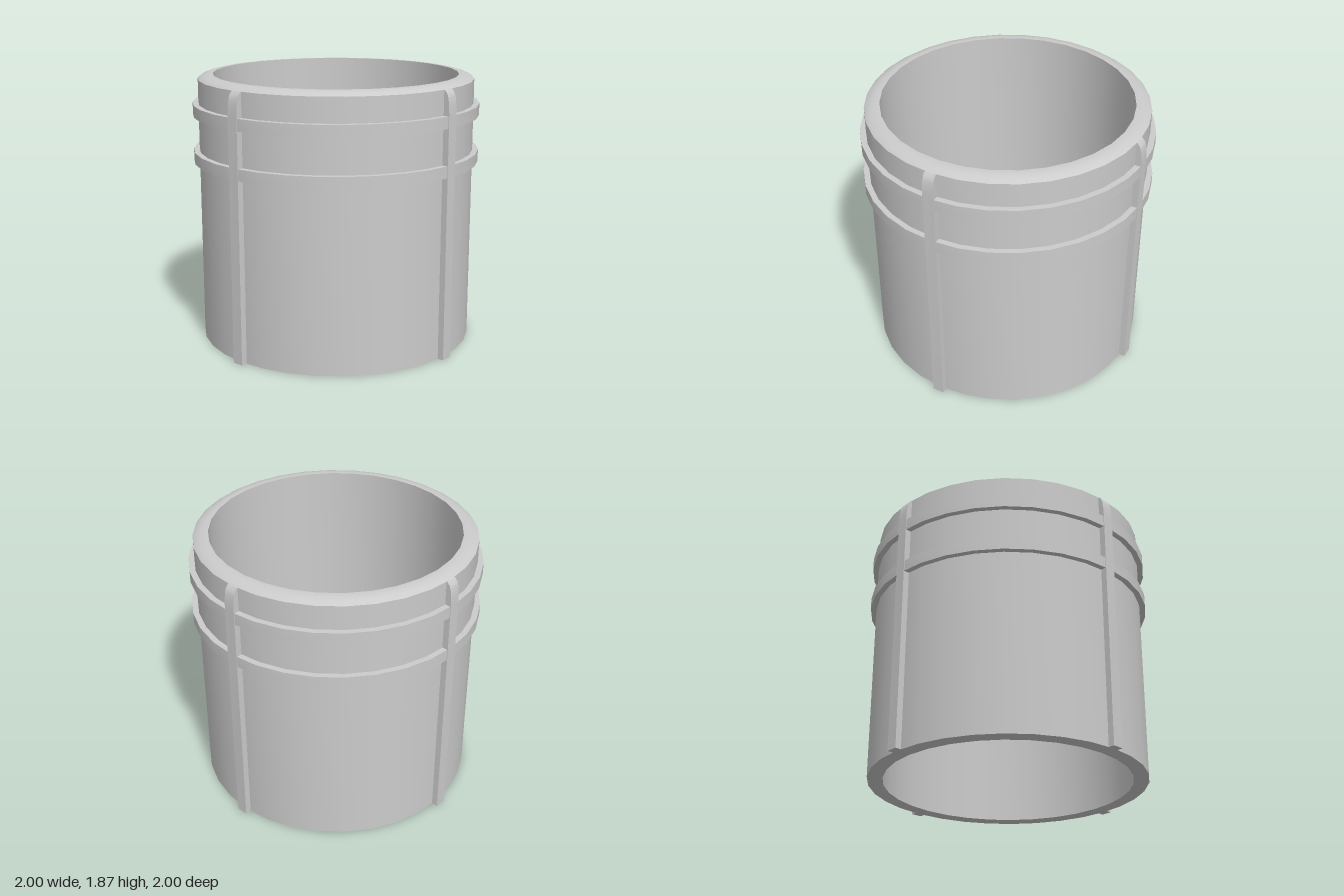
import * as THREE from 'three';
import { toCreasedNormals } from 'three/addons/utils/BufferGeometryUtils.js';

const SIDES = 32;
const WALL = 0.96, INNER = 0.855, OUTER = 1.0, HEIGHT = 1.87;

export function createModel() {
  const group = new THREE.Group();
  const material = new THREE.MeshStandardMaterial({ color: 0xcccccc });

  const add = (name, geometry) => {
    const mesh = new THREE.Mesh(toCreasedNormals(geometry, 0.5), material);
    mesh.name = name;
    group.add(mesh);
    return mesh;
  };
  const lathe = (points) =>
    new THREE.LatheGeometry(points.map(([r, y]) => new THREE.Vector2(r, y)), SIDES);

  // Open tube with a softly rounded outer lip
  add('sleeve', lathe([
    [INNER, 0], [WALL, 0], [WALL, 1.84], [0.935, 1.857], [0.9, 1.867],
    [0.875, HEIGHT], [INNER, HEIGHT], [INNER, 0],
  ]));

  // Two raised bands round the upper half
  for (const [name, low, high] of [['lowerBand', 1.265, 1.345], ['upperBand', 1.59, 1.672]]) {
    add(name, lathe([[WALL - 0.01, low], [OUTER, low], [OUTER, high], [WALL - 0.01, high]]));
  }

  // Four vertical ribs that curve in towards the lip
  const width = 0.08;
  const profile = new THREE.Shape();
  profile.moveTo(0.94, 0);
  profile.lineTo(OUTER, 0);
  profile.lineTo(OUTER, 1.67);
  profile.lineTo(0.997, 1.74);
  profile.lineTo(0.99, 1.79);
  profile.lineTo(0.98, 1.818);
  profile.lineTo(0.96, 1.84);
  profile.lineTo(0.94, 1.84);
  profile.closePath();
  for (let i = 0; i < 4; i++) {
    const rib = new THREE.ExtrudeGeometry(profile, { depth: width, bevelEnabled: false });
    rib.translate(0, 0, -width / 2);
    add('rib' + (i + 1), rib).rotation.y = (i * Math.PI) / 2;
  }

  return group;
}
